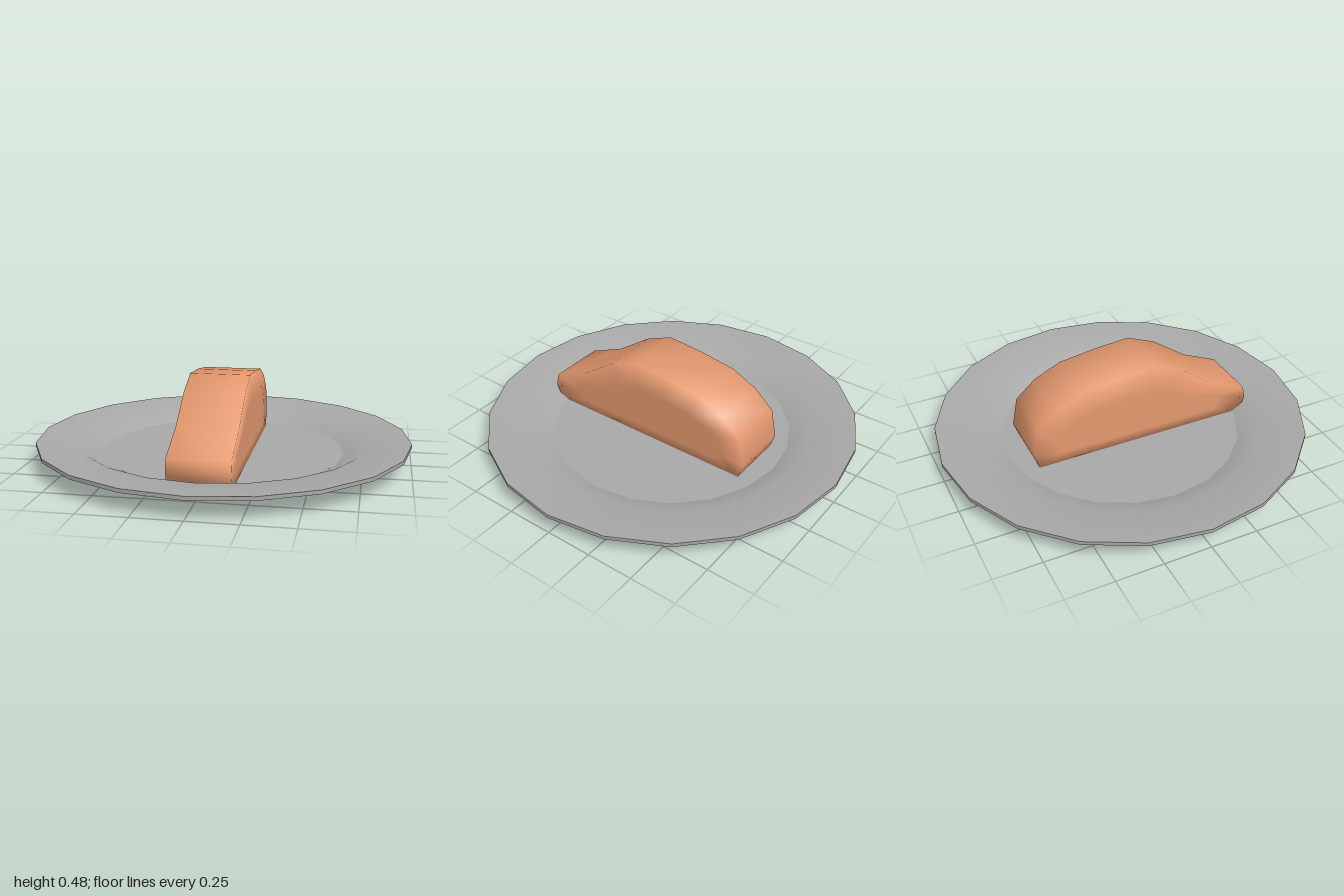
import * as THREE from 'three';

const plateGrey = new THREE.MeshStandardMaterial({ name: 'plateGrey', color: 0xa8a8a8 });
const salmon = new THREE.MeshStandardMaterial({ name: 'salmonOrange', color: 0xe3986e });

// One turned band of the twenty-sided plate
function plateBand(name, points) {
  const profile = points.map(([r, y]) => new THREE.Vector2(r, y));
  const mesh = new THREE.Mesh(new THREE.LatheGeometry(profile, 20), plateGrey);
  mesh.name = name;
  return mesh;
}

// Fillet outline as [z, y], from the thin front tip over the hump to the back
const outline = [
  [0.70, 0.115], [0.685, 0.185], [0.48, 0.275], [0.28, 0.415], [0.125, 0.48],
  [-0.07, 0.465], [-0.28, 0.435], [-0.42, 0.37], [-0.53, 0.275], [-0.56, 0.12],
  [-0.53, 0.03], [0.66, 0.03],
];

function filletGeometry() {
  const n = outline.length;
  const positions = [];
  const index = [];
  // Rings: right inset, right edge, left edge, left inset
  const inset = ([z, y]) => [z * 0.75, 0.16 + (y - 0.16) * 0.5];
  for (const [x, shape] of [[-0.155, inset], [-0.155, (p) => p], [0.16, (p) => p], [0.16, inset]]) {
    for (const p of outline) {
      const [z, y] = shape(p);
      positions.push(x, y, z);
    }
  }
  for (let ring = 0; ring < 3; ring++) {
    for (let i = 0; i < n; i++) {
      const a = ring * n + i;
      const b = ring * n + (i + 1) % n;
      index.push(a, a + n, b, b, a + n, b + n);
    }
  }
  // Flat middles of the two sides
  const flat = outline.map((p) => new THREE.Vector2(...inset(p)));
  for (const [a, b, c] of THREE.ShapeUtils.triangulateShape(flat, [])) {
    index.push(a, b, c, 3 * n + a, 3 * n + c, 3 * n + b);
  }
  const geometry = new THREE.BufferGeometry();
  geometry.setAttribute('position', new THREE.Float32BufferAttribute(positions, 3));
  geometry.setIndex(index);
  // Turn any side triangle that faces inwards
  const v = [0, 1, 2].map(() => new THREE.Vector3());
  for (let i = 9 * n * 2; i < index.length; i += 3) {
    v.forEach((p, k) => p.fromArray(positions, index[i + k] * 3));
    const normalX = v[1].clone().sub(v[0]).cross(v[2].clone().sub(v[0])).x;
    if (normalX * v[0].x < 0) [index[i + 1], index[i + 2]] = [index[i + 2], index[i + 1]];
  }
  geometry.setIndex(index);
  geometry.computeVertexNormals();
  return geometry;
}

export function createModel() {
  const model = new THREE.Group();
  model.name = 'filletOnPlate';

  const plate = new THREE.Group();
  plate.name = 'plate';
  plate.add(
    plateBand('plateUnderside', [[0, 0], [0.73, 0], [0.81, 0.075], [1, 0.095]]),
    plateBand('plateEdge', [[1, 0.095], [1, 0.115]]),
    plateBand('plateRim', [[1, 0.115], [0.77, 0.1], [0.645, 0.04]]),
    plateBand('plateFloor', [[0.645, 0.04], [0, 0.04]]),
  );

  const fillet = new THREE.Mesh(filletGeometry(), salmon);
  fillet.name = 'fillet';

  model.add(plate, fillet);
  return model;
}
